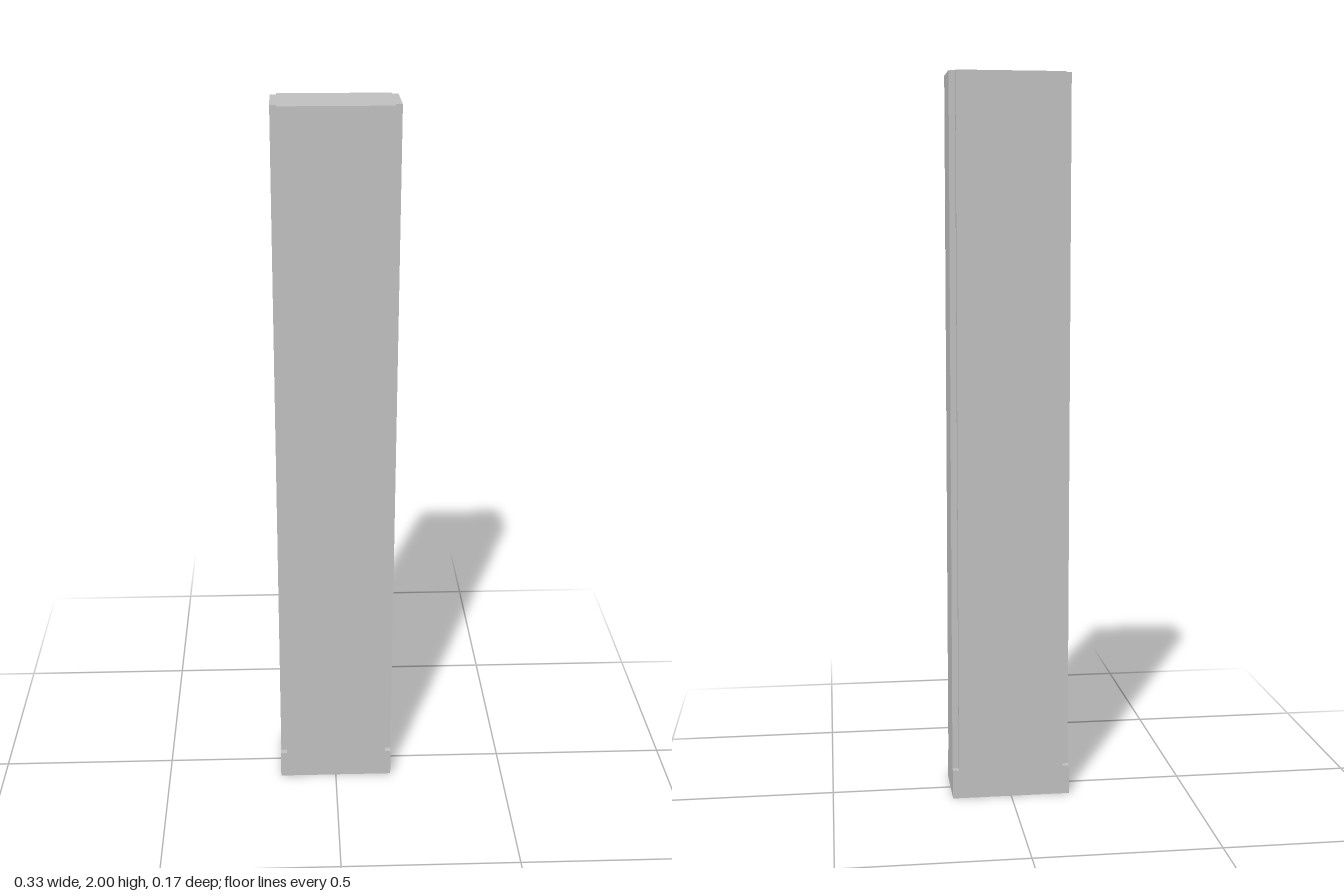
import * as THREE from 'three';

const W = 0.165, D = 0.0865;    // half width and half depth
const NOTCH = 0.017;            // square corner recess
const BASE_H = 0.082, TOP = 2;

const stone = new THREE.MeshStandardMaterial({ color: 0xbfbfbf, side: THREE.DoubleSide });
stone.name = 'plain grey';

// Rectangle with a square notch cut from each corner
function notchedShape(left, right, d, n) {
  const s = new THREE.Shape();
  s.moveTo(left + n, -d);
  s.lineTo(right - n, -d);
  s.lineTo(right - n, -d + n);
  s.lineTo(right, -d + n);
  s.lineTo(right, d - n);
  s.lineTo(right - n, d - n);
  s.lineTo(right - n, d);
  s.lineTo(left + n, d);
  s.lineTo(left + n, d - n);
  s.lineTo(left, d - n);
  s.lineTo(left, -d + n);
  s.lineTo(left + n, -d + n);
  s.closePath();
  return s;
}

export function createModel() {
  const group = new THREE.Group();
  group.name = 'pillar';

  // Tall shaft with recessed corners
  const shaftGeo = new THREE.ExtrudeGeometry(notchedShape(-W + 0.0015, W, D, NOTCH), {
    depth: TOP - BASE_H, bevelEnabled: false,
  });
  shaftGeo.rotateX(-Math.PI / 2);
  const shaft = new THREE.Mesh(shaftGeo, stone);
  shaft.name = 'shaft';
  shaft.position.y = BASE_H;
  group.add(shaft);

  // Plinth: a box left open underneath (bottom face dropped)
  const baseGeo = new THREE.BoxGeometry(2 * W, BASE_H, 2 * D);
  const index = Array.from(baseGeo.index.array);
  index.splice(18, 6);
  baseGeo.setIndex(index);
  baseGeo.clearGroups();
  const base = new THREE.Mesh(baseGeo, stone);
  base.name = 'plinth';
  base.position.y = BASE_H / 2;
  group.add(base);

  return group;
}
